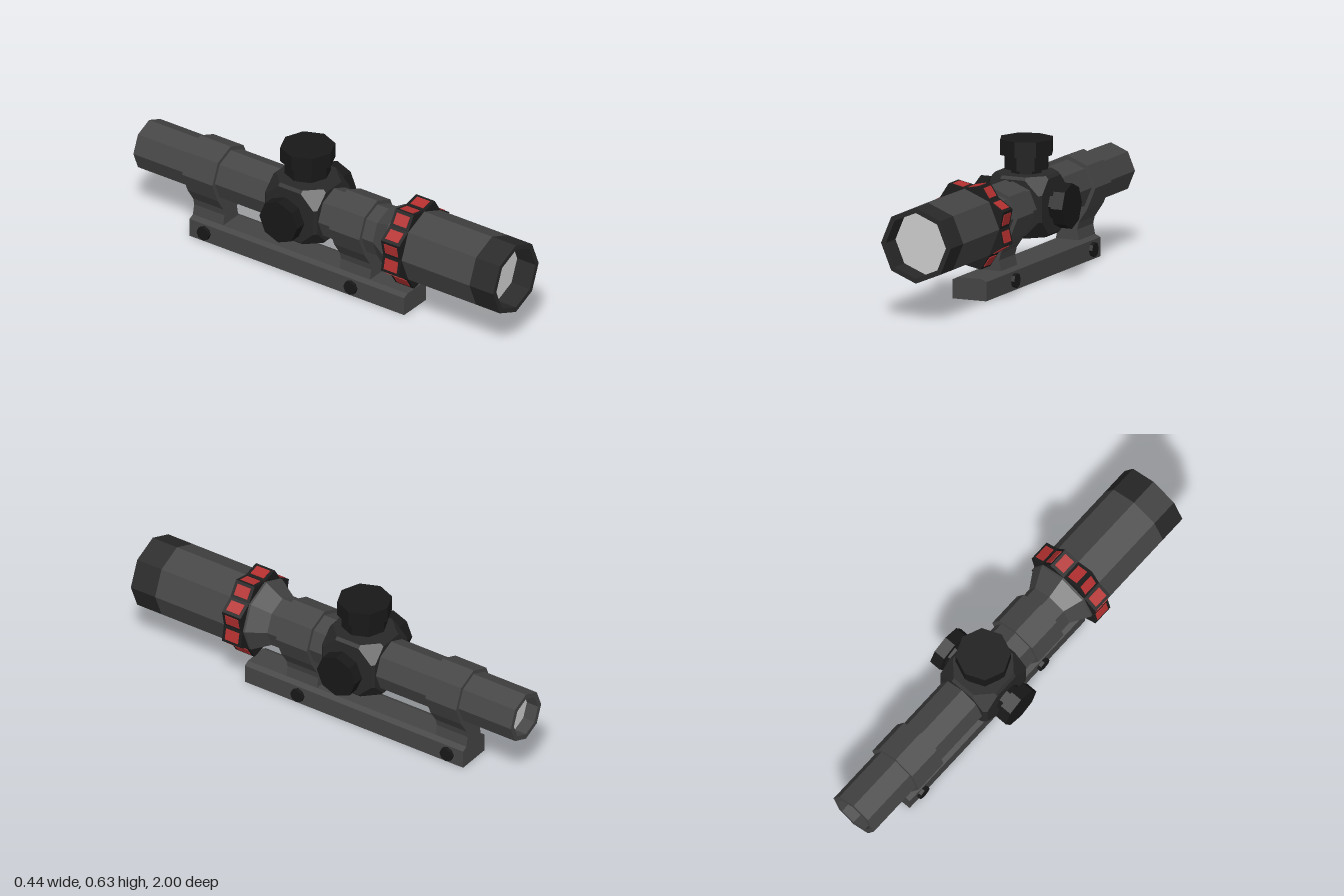
import * as THREE from 'three';
import { ConvexGeometry } from 'three/addons/geometries/ConvexGeometry.js';

const AXIS_Y = 0.338;     // height of the optical axis
const TURRET_Z = -0.135;  // centre of the adjustment turrets

const mat = (color) => new THREE.MeshStandardMaterial({ color, flatShading: true });
const mats = {
  tube: mat(0x444444), dark: mat(0x282828), black: mat(0x181818),
  ring: mat(0x1c1c1c), red: mat(0xb53030), lens: mat(0xcccccc),
};

function add(parent, name, geometry, material) {
  const mesh = new THREE.Mesh(geometry, material);
  mesh.name = name;
  parent.add(mesh);
  return mesh;
}

// Eight-sided lathe along z; profile is [radius, z] pairs
function tubeAlongZ(profile) {
  const g = new THREE.LatheGeometry(profile.map(([r, z]) => new THREE.Vector2(r, z)), 8);
  return g.rotateX(Math.PI / 2).translate(0, AXIS_Y, 0);
}

// Extrusion of an xy outline between two z values
function extrudeZ(points, z0, z1) {
  const shape = new THREE.Shape(points.map(([x, y]) => new THREE.Vector2(x, y)));
  return new THREE.ExtrudeGeometry(shape, { depth: z1 - z0, bevelEnabled: false }).translate(0, 0, z0);
}

// Closed outline from its right half, listed bottom to top
const mirrored = (half) => [...half, ...half.slice().reverse().filter(([x]) => x > 0).map(([x, y]) => [-x, y])];

// Octagonal knob: stub, optional neck and cap stacked along y
function knob(name, steps) {
  const group = new THREE.Group();
  group.name = name;
  for (const [part, r, y0, y1] of steps) {
    add(group, part, new THREE.CylinderGeometry(r, r, y1 - y0, 8).translate(0, (y0 + y1) / 2, 0), mats.black);
  }
  return group;
}

export function createModel() {
  const model = new THREE.Group();

  // Main tube with recessed eyepiece, taper and objective housing
  add(model, 'mainTube', tubeAlongZ([
    [0.094, -0.94], [0.094, -1], [0.118, -1], [0.118, 0.305], [0.17, 0.39], [0.17, 0.87],
  ]), mats.tube);
  add(model, 'objectiveRim', tubeAlongZ([[0.17, 0.87], [0.17, 1], [0.147, 1], [0.147, 0.9]]), mats.dark);

  // Lenses
  add(model, 'frontLens', new THREE.CircleGeometry(0.147, 8), mats.lens).position.set(0, AXIS_Y, 0.9);
  const rearLens = add(model, 'rearLens', new THREE.CircleGeometry(0.094, 8), mats.lens);
  rearLens.position.set(0, AXIS_Y, -0.94);
  rearLens.rotation.y = Math.PI;

  // Star-shaped zoom ring with a red pad on each of its sixteen faces
  const star = [];
  for (let i = 0; i < 16; i++) {
    const a = (i * Math.PI) / 8;
    const r = i % 2 ? 0.203 : 0.171;
    star.push([r * Math.cos(a), AXIS_Y + r * Math.sin(a)]);
  }
  add(model, 'zoomRing', extrudeZ(star, 0.4, 0.5), mats.ring);
  const pads = new THREE.Group();
  pads.name = 'zoomRingPads';
  model.add(pads);
  star.forEach(([x0, y0], i) => {
    const [x1, y1] = star[(i + 1) % 16];
    const pad = add(pads, 'redPad', new THREE.BoxGeometry(0.052, 0.006, 0.07), mats.red);
    pad.position.set((x0 + x1) / 2, (y0 + y1) / 2, 0.45);
    pad.rotation.z = Math.atan2(y1 - y0, x1 - x0);
  });

  // Turret block: a cube with bevelled edges and cut corners
  const corners = [];
  for (const sx of [-1, 1]) for (const sy of [-1, 1]) for (const sz of [-1, 1]) {
    const [a, b, c] = [0.137, 0.124, 0.06];
    for (const [x, y, z] of [[a, b, c], [a, c, b], [b, a, c], [c, a, b], [b, c, a], [c, b, a]]) {
      corners.push(new THREE.Vector3(sx * x, sy * y, sz * z * 1.04));
    }
  }
  add(model, 'turretBlock', new ConvexGeometry(corners), mats.dark).position.set(0, AXIS_Y, TURRET_Z);

  // Top and side turrets
  const topTurret = knob('topTurret', [
    ['stub', 0.072, 0.13, 0.157], ['neck', 0.103, 0.155, 0.22], ['cap', 0.123, 0.219, 0.289],
  ]);
  topTurret.position.set(0, AXIS_Y, TURRET_Z);
  model.add(topTurret);
  for (const side of [1, -1]) {
    const turret = knob(side > 0 ? 'leftTurret' : 'rightTurret', [
      ['stub', 0.067, 0.13, 0.17], ['cap', 0.1025, 0.167, 0.222],
    ]);
    turret.position.set(0, AXIS_Y, TURRET_Z);
    turret.rotation.z = -side * Math.PI / 2;
    model.add(turret);
  }

  // Mount base
  add(model, 'mountBase', extrudeZ(mirrored([[0.082, 0], [0.082, 0.086], [0.057, 0.098]]), -0.72, 0.45), mats.tube);

  // Clamp rings on waisted pedestals
  const clamp = mirrored([
    [0.057, 0.096], [0.047, 0.145], [0.055, 0.178], [0.097, 0.241],
    [0.137, AXIS_Y], [0.097, 0.435], [0, 0.475],
  ]);
  add(model, 'frontClamp', extrudeZ(clamp, 0.08, 0.245), mats.tube);
  add(model, 'rearClamp', extrudeZ(clamp, -0.72, -0.555), mats.tube);

  // Cross bolts through the base
  for (const z of [0.163, -0.637]) {
    const bolt = add(model, 'crossBolt', new THREE.CylinderGeometry(0.033, 0.033, 0.196, 8), mats.black);
    bolt.rotation.z = Math.PI / 2;
    bolt.position.set(0, 0.045, z);
  }
  return model;
}
